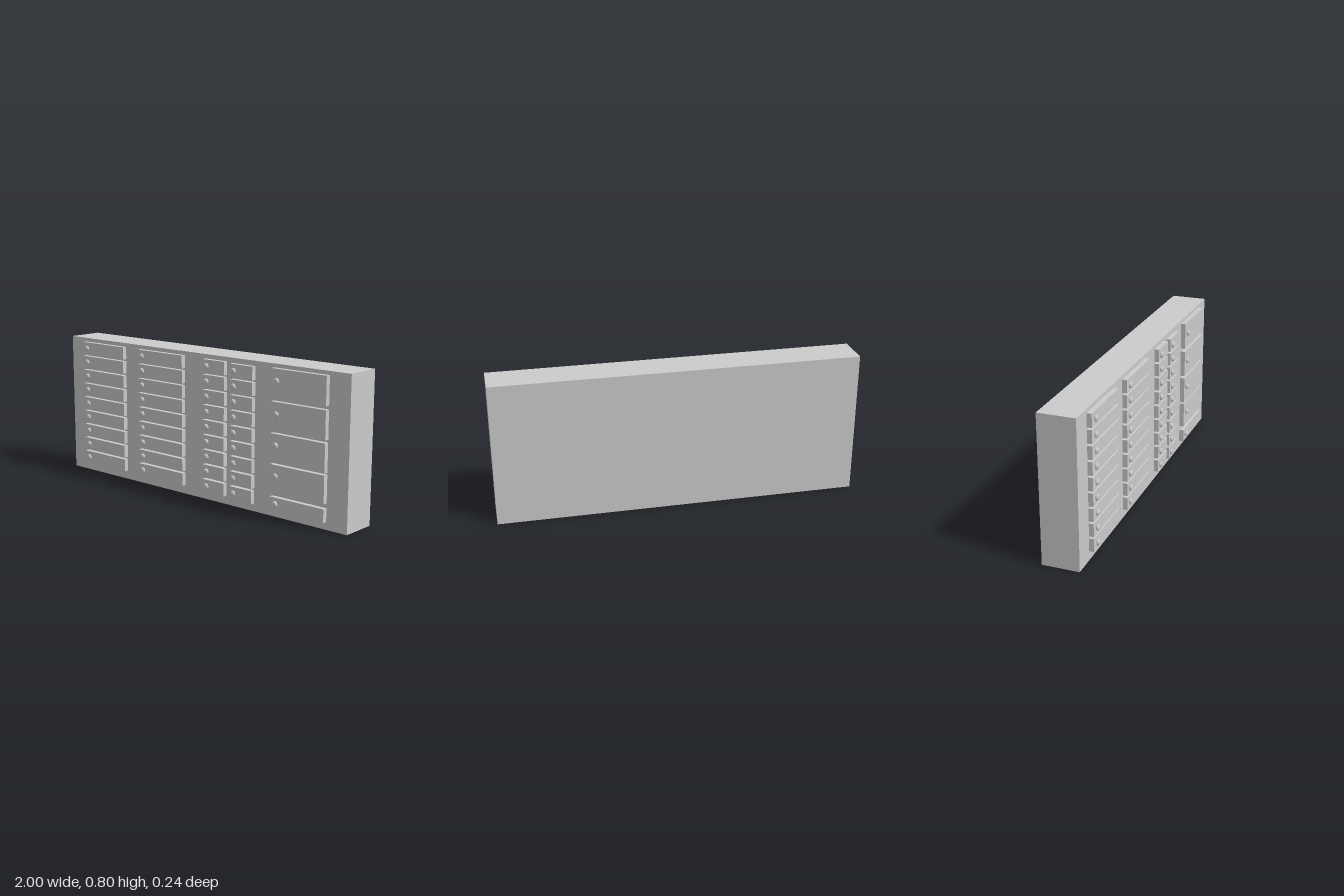
import * as THREE from 'three';

const FRONT = 0.08; // z of the cabinet face
const DOOR_DEPTH = 0.026;

export function createModel() {
  const model = new THREE.Group();
  model.name = 'lockerCabinet';
  const material = new THREE.MeshStandardMaterial({ color: 0xcccccc });

  const add = (parent, name, geometry, x, y, z) => {
    const mesh = new THREE.Mesh(geometry, material);
    mesh.name = name;
    mesh.position.set(x, y, z);
    parent.add(mesh);
  };

  // Main body
  add(model, 'cabinetBody', new THREE.BoxGeometry(2, 0.8, 0.2), 0, 0.4, -0.02);

  // Tapered knob, axis along z, base on the door face
  const knobGeometry = new THREE.LatheGeometry(
    [[0.011, 0], [0.017, 0.003], [0.0155, 0.009], [0.0115, 0.0145], [0, 0.0145]].map(([r, h]) => new THREE.Vector2(r, h)), 16);
  knobGeometry.rotateX(Math.PI / 2);

  // One door with its knob near the left edge of the panel
  const addDoor = (column, x0, x1, y0, y1, knobX, knobY = (y0 + y1) / 2) => {
    const door = new THREE.Group();
    door.name = 'door';
    add(door, 'doorPanel', new THREE.BoxGeometry(x1 - x0, y1 - y0, DOOR_DEPTH),
      (x0 + x1) / 2, (y0 + y1) / 2, FRONT + DOOR_DEPTH / 2);
    add(door, 'doorKnob', knobGeometry, knobX, knobY, FRONT + DOOR_DEPTH);
    column.add(door);
  };

  const addColumn = (name) => {
    const column = new THREE.Group();
    column.name = name;
    model.add(column);
    return column;
  };

  // Columns of nine equal small doors
  const smallColumns = [
    { name: 'wideDoorsOuter', x0: -0.88, x1: -0.54, bottom: 0.05, knobX: -0.84 },
    { name: 'wideDoorsInner', x0: -0.42, x1: -0.08, bottom: 0.05, knobX: -0.385 },
    { name: 'narrowDoorsInner', x0: 0.07, x1: 0.222, bottom: 0.048, knobX: 0.1 },
    { name: 'narrowDoorsOuter', x0: 0.263, x1: 0.413, bottom: 0.044, knobX: 0.29 },
  ];
  for (const { name, x0, x1, bottom, knobX } of smallColumns) {
    const column = addColumn(name);
    for (let row = 0; row < 9; row++) {
      const y0 = bottom + row * 0.0822;
      addDoor(column, x0, x1, y0, y0 + 0.071, knobX);
    }
  }

  // Column of four large doors above one small door
  const large = addColumn('largeDoors');
  const rows = [[0.04, 0.112, 0.078], [0.137, 0.284, 0.225], [0.293, 0.446, 0.385], [0.46, 0.611, 0.547], [0.63, 0.78, 0.717]];
  for (const [y0, y1, knobY] of rows) addDoor(large, 0.535, 0.875, y0, y1, 0.573, knobY);

  return model;
}
